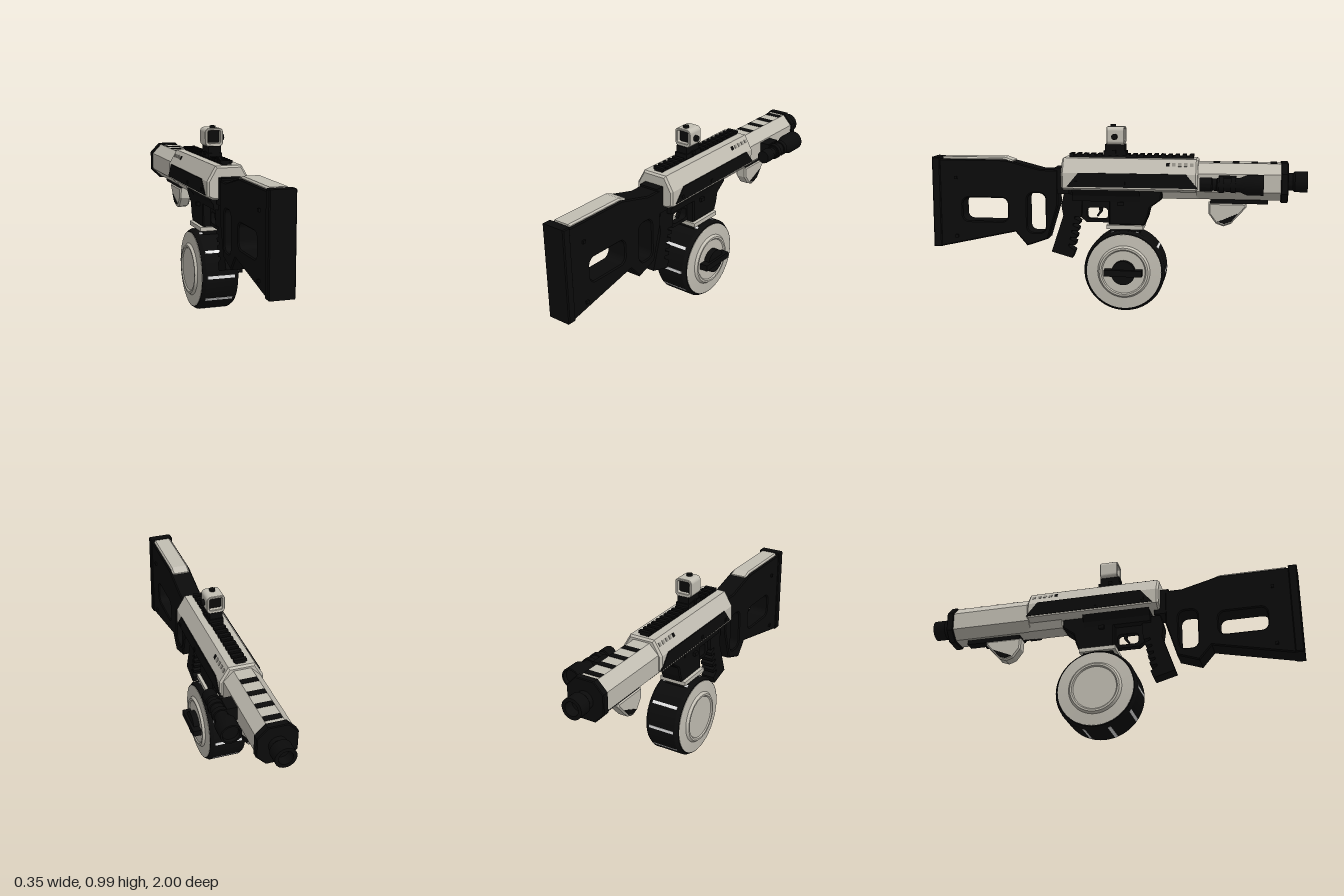
import * as THREE from 'three';
import { toCreasedNormals } from 'three/addons/utils/BufferGeometryUtils.js';

const mat = (name, color) => Object.assign(new THREE.MeshStandardMaterial({ color }), { name });

export function createModel() {
  const light = mat('warm grey', 0xc2beb3);
  const black = mat('black', 0x0b0b0b);
  const white = mat('white', 0xfafafa);
  const grey = mat('panel grey', 0x8f8c84);

  const model = new THREE.Group();
  model.name = 'toyBlaster';
  const body = new THREE.Group();
  body.name = 'body';
  body.position.x = -0.055; // all parts are centred on the barrel line
  model.add(body);

  const add = (name, geo, material, x = 0, y = 0, z = 0, parent = body) => {
    const m = new THREE.Mesh(geo, material);
    m.name = name;
    m.position.set(x, y, z);
    parent.add(m);
    return m;
  };
  const box = (name, material, w, h, d, x, y, z, parent) =>
    add(name, new THREE.BoxGeometry(w, h, d), material, x, y, z, parent);
  const shapeOf = pts => new THREE.Shape(pts.map(p => new THREE.Vector2(...p)));

  // rounded rectangle between two corners
  const rounded = (x0, y0, x1, y1, r, Type = THREE.Path) => {
    const p = new Type();
    p.absarc(x1 - r, y1 - r, r, 0, Math.PI / 2);
    p.absarc(x0 + r, y1 - r, r, Math.PI / 2, Math.PI);
    p.absarc(x0 + r, y0 + r, r, Math.PI, Math.PI * 1.5);
    p.absarc(x1 - r, y0 + r, r, Math.PI * 1.5, Math.PI * 2);
    p.closePath();
    return p;
  };
  const extrude = (shape, depth, bevel) => {
    const g = new THREE.ExtrudeGeometry(shape, {
      depth: depth - 2 * bevel, bevelEnabled: bevel > 0, bevelSize: bevel, bevelThickness: bevel,
      bevelOffset: -bevel, bevelSegments: 1, curveSegments: 8,
    });
    return g.translate(0, 0, bevel - depth / 2);
  };
  // side outline in (z, y), extruded across x
  const side = (name, pts, width, material, bevel = 0, holes = [], x = 0) => {
    const s = shapeOf(pts);
    s.holes.push(...holes);
    return add(name, extrude(s, width, bevel).rotateY(-Math.PI / 2), material, x);
  };
  // mirrored cross-section given as (half width, y) from top to bottom, extruded from z0 to z1
  const section = (name, half, z0, z1, material, bevel = 0) => {
    const pts = [...half.map(([x, y]) => [-x, y]), ...half.map(([x, y]) => [x, y]).reverse()];
    return add(name, extrude(shapeOf(pts), z1 - z0, bevel), material, 0, 0, (z0 + z1) / 2);
  };
  // turned part: profile of (radius, distance along the axis)
  const turned = (pts, segments = 48) => toCreasedNormals(
    new THREE.LatheGeometry(pts.map(p => new THREE.Vector2(...p)), segments), 0.45);

  // Stock with two openings
  side('stock', [[0.97, 0.8], [0.595, 0.8], [0.4, 0.75], [0.31, 0.75], [0.31, 0.56], [0.365, 0.375],
    [0.48, 0.335], [0.545, 0.41], [0.96, 0.32], [0.97, 0.32]], 0.116, black, 0.006,
  [rounded(0.585, 0.465, 0.835, 0.592, 0.035), rounded(0.378, 0.408, 0.478, 0.622, 0.035)]);
  side('buttPad', [[1, 0.32], [1, 0.81], [0.955, 0.81], [0.955, 0.32]], 0.13, black, 0.005);
  side('cheekRest', [[0.945, 0.78], [0.945, 0.812], [0.6, 0.812], [0.555, 0.796], [0.555, 0.78]], 0.098, light, 0.008);
  for (const y of [0.38, 0.7]) box('stockPin', black, 0.134, 0.016, 0.016, 0, y, 0.87);
  box('stockJoint', black, 0.11, 0.14, 0.08, 0, 0.69, 0.29);

  // Receiver
  section('receiver', [[0.068, 0.816], [0.112, 0.74], [0.112, 0.66], [0.08, 0.645]], -0.436, 0.284, light, 0.01);
  section('lowerReceiver', [[0.092, 0.652], [0.064, 0.615], [0.06, 0.585]], -0.13, 0.23, black);
  for (const s of [-1, 1]) {
    side('sidePanel', [[0.19, 0.742], [-0.375, 0.742], [-0.437, 0.668], [0.252, 0.668]], 0.008, black, 0, [], s * 0.112);
    // small ports on the sloped shoulder
    for (let i = 0; i < 5; i++) {
      const p = box('port', i < 1 ? black : grey, 0.004, 0.02, 0.018, s * 0.0845, 0.788, -0.28 - i * 0.031);
      p.rotation.z = s * 0.524;
    }
    for (const z of [-0.05, 0.2]) box('bodyPin', black, 0.006, 0.016, 0.016, s * 0.117, 0.69, z);
  }

  // Toothed top rail
  box('topRail', black, 0.05, 0.016, 0.66, 0, 0.82, -0.08);
  for (let i = 0; i < 18; i++) box('railTooth', black, 0.064, 0.014, 0.021, 0, 0.83, 0.238 - i * 0.0375);

  // Handguard, collar and muzzle
  section('handguard', [[0.045, 0.797], [0.095, 0.745], [0.095, 0.652], [0.045, 0.606]], -0.862, -0.43, light);
  for (const z of [-0.825, -0.727, -0.63, -0.53]) box('ventSlot', black, 0.088, 0.006, 0.034, 0, 0.796, z);
  section('underBarrel', [[0.075, 0.65], [0.05, 0.606]], -0.44, -0.25, light);
  section('collar', [[0.05, 0.803], [0.101, 0.75], [0.101, 0.647], [0.05, 0.595]], -0.9, -0.862, black, 0.004);
  add('muzzle', turned([[0, 0], [0.045, 0], [0.045, 0.035], [0.054, 0.045], [0.054, 0.11], [0.036, 0.11],
    [0.034, 0.06], [0, 0.06]], 32).rotateX(-Math.PI / 2), black, 0, 0.7, -0.89);
  box('lowerRail', black, 0.055, 0.026, 0.3, 0, 0.595, -0.65);

  // Folding hand stop
  side('handStop', [[-0.49, 0.584], [-0.69, 0.584], [-0.69, 0.565], [-0.61, 0.475], [-0.57, 0.46],
    [-0.53, 0.475], [-0.493, 0.525]], 0.066, light, 0.008);
  for (const s of [-1, 1]) {
    side('handStopInset', [[-0.54, 0.485], [-0.645, 0.53], [-0.61, 0.487], [-0.575, 0.474]], 0.005, black, 0, [], s * 0.033);
  }

  // Side lamp
  add('lamp', turned([[0, 0], [0.034, 0], [0.036, 0.008], [0.036, 0.06], [0.031, 0.065], [0.031, 0.085],
    [0.035, 0.09], [0.035, 0.2], [0.052, 0.24], [0.052, 0.322], [0.043, 0.322], [0.04, 0.305], [0, 0.305]], 32)
    .rotateX(-Math.PI / 2), black, 0.174, 0.7, -0.45);
  box('lampMount', black, 0.06, 0.075, 0.09, 0.117, 0.7, -0.59);
  for (const z of [-0.62, -0.56]) {
    add('lampClamp', new THREE.CylinderGeometry(0.042, 0.042, 0.025, 24).rotateX(Math.PI / 2), black, 0.174, 0.7, z);
  }

  // Magazine well and collar
  side('magazineWell', [[0.035, 0.65], [0.035, 0.46], [-0.155, 0.46], [-0.172, 0.5], [-0.185, 0.555],
    [-0.245, 0.6], [-0.245, 0.65]], 0.12, black, 0.006);
  box('magazineCollar', light, 0.15, 0.022, 0.195, 0, 0.45, -0.052);
  box('magazineNeck', black, 0.11, 0.1, 0.16, 0, 0.41, -0.052);
  box('releaseButton', black, 0.15, 0.02, 0.03, 0, 0.575, -0.03);

  // Drum magazine
  const drum = new THREE.Group();
  drum.name = 'drumMagazine';
  drum.position.set(0, 0.217, -0.052);
  body.add(drum);
  const across = g => g.rotateZ(-Math.PI / 2);
  add('drumShell', across(turned([[0, -0.098], [0.204, -0.098], [0.216, -0.08], [0.216, 0.08], [0.204, 0.098], [0, 0.098]], 64)),
    black, 0, 0, 0, drum);
  for (const s of [-1, 1]) {
    const cover = across(turned([[0, 0.09], [0.199, 0.09], [0.199, 0.1], [0.14, 0.105], [0.13, 0.118],
      [0.12, 0.118], [0.114, 0.112], [0, 0.112]].reverse().map(([r, d]) => [r, -d]), 64));
    const m = add('drumCover', cover, light, 0, 0, 0, drum);
    m.material = light;
    // profile is built facing -x; turn it for the other side
    if (s > 0) m.rotation.y = Math.PI;
  }
  for (let i = 0; i < 10; i++) {
    const a = i * Math.PI / 5;
    const strip = box('drumWindow', white, 0.148, 0.006, 0.016, 0, 0.2145 * Math.sin(a), 0.2145 * Math.cos(a), drum);
    strip.rotation.x = Math.PI / 2 - a;
  }
  add('windingKnob', across(new THREE.CylinderGeometry(0.064, 0.064, 0.034, 32)), black, 0.127, 0, 0, drum);
  box('windingBar', black, 0.045, 0.034, 0.2, 0.136, 0, 0, drum);

  // Pistol grip with finger ridges
  const front = [];
  for (let i = 0; i < 5; i++) {
    const y = 0.51 - i * 0.038, z = 0.185 + i * 0.008;
    front.push([z, y], [z + 0.005, y - 0.018], [z + 0.038, y - 0.012], [z + 0.04, y - 0.024]);
  }
  side('grip', [[0.28, 0.62], [0.18, 0.62], ...front, [0.222, 0.31], [0.237, 0.27], [0.35, 0.302],
    [0.285, 0.5], [0.295, 0.56]], 0.075, black);

  // Trigger and guard
  side('triggerGuard', [[0.19, 0.6], [0.19, 0.49], [0.16, 0.466], [0.02, 0.466], [0.02, 0.6]], 0.035, black, 0,
    [rounded(0.045, 0.484, 0.158, 0.545, 0.02)]);
  side('trigger', [[0.1, 0.56], [0.07, 0.56], [0.078, 0.52], [0.1, 0.495], [0.108, 0.5], [0.092, 0.525]], 0.018, black);

  // Sight
  box('sightClamp', black, 0.075, 0.025, 0.12, 0, 0.84, 0.005);
  box('sightBase', black, 0.066, 0.045, 0.105, 0, 0.865, 0.005);
  box('clampScrew', black, 0.09, 0.018, 0.02, 0, 0.848, 0.01);
  const frame = rounded(-0.048, 0.884, 0.048, 0.98, 0.022, THREE.Shape);
  frame.holes.push(rounded(-0.034, 0.903, 0.034, 0.967, 0.008));
  add('sightFrame', extrude(frame, 0.095, 0.003), light, 0, 0, 0.002);
  box('sightLens', black, 0.07, 0.066, 0.05, 0, 0.935, 0.002);
  add('sightTopKnob', new THREE.CylinderGeometry(0.015, 0.015, 0.014, 20), black, 0, 0.984, 0.018);
  add('sightSideKnob', across(new THREE.CylinderGeometry(0.016, 0.016, 0.018, 20)), black, 0.055, 0.928, 0.005);

  return model;
}
